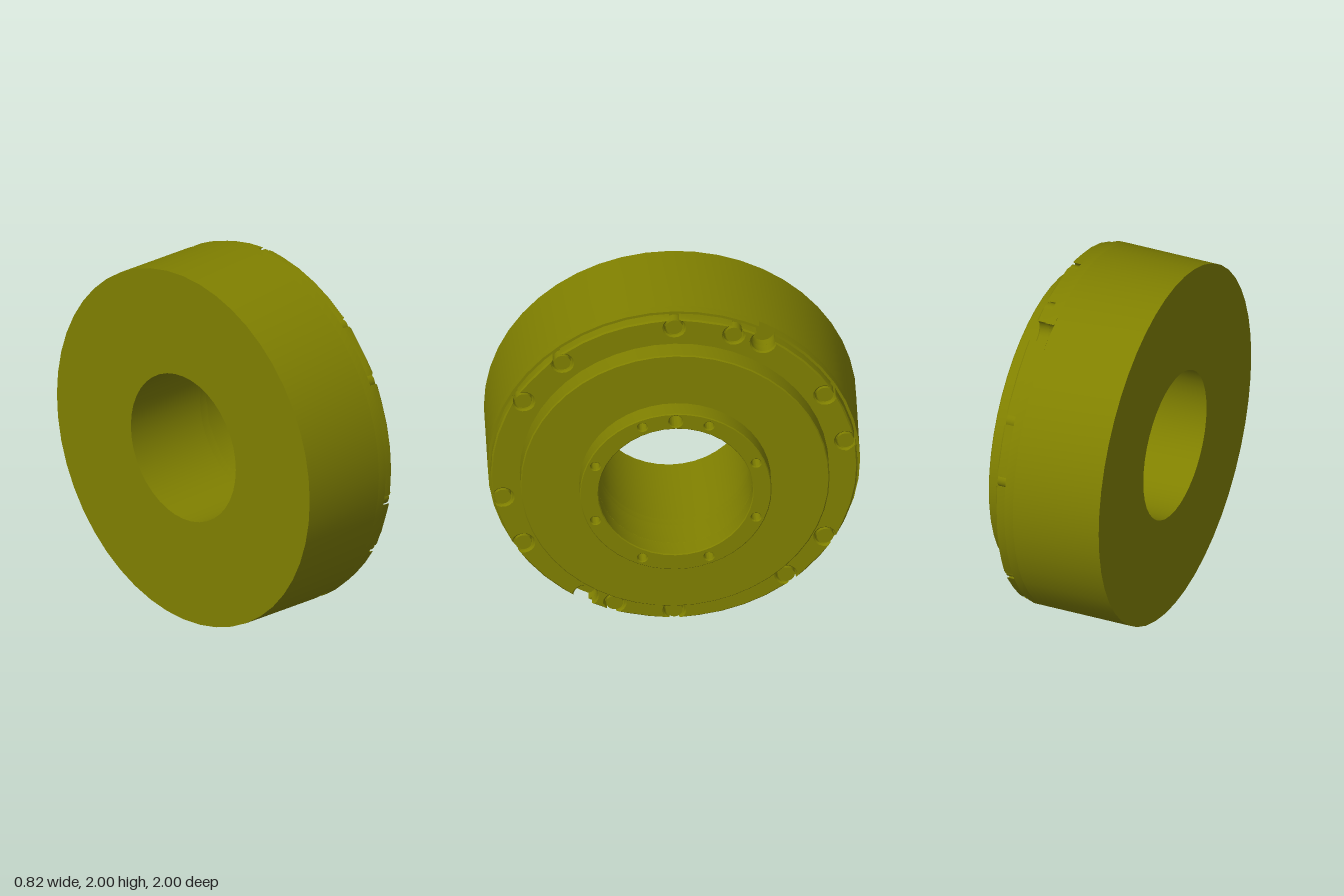
import * as THREE from 'three';
import { toCreasedNormals } from 'three/addons/utils/BufferGeometryUtils.js';

const BORE = 0.415, SEG = 48;
const rad = THREE.MathUtils.degToRad;
const polar = (r, a) => new THREE.Vector2(r * Math.cos(a), r * Math.sin(a));

// Circle outline with round bites { deg, d, r } cut in from its edge
function outline(R, bites = []) {
  const pts = [];
  const cuts = bites.map(({ deg, d, r }) => {
    const phi = Math.acos((R * R - d * d - r * r) / (2 * d * r));
    return { a: rad(deg), d, r, phi, half: Math.atan2(r * Math.sin(phi), d + r * Math.cos(phi)) };
  }).sort((p, q) => p.a - q.a);
  const list = [];
  for (let i = 0; i < SEG; i++) {
    const a = (i / SEG) * Math.PI * 2;
    if (!cuts.some(c => Math.abs(a - c.a) < c.half + 0.01)) list.push({ a, pts: [polar(R, a)] });
  }
  for (const c of cuts) {
    const arc = [];
    for (let i = 0; i <= 14; i++) {
      const t = -c.phi - (i / 14) * (2 * Math.PI - 2 * c.phi);
      arc.push(polar(c.d, c.a).add(polar(c.r, c.a + t)));
    }
    list.push({ a: c.a, pts: arc });
  }
  list.sort((p, q) => p.a - q.a).forEach(e => pts.push(...e.pts));
  return new THREE.Shape(pts);
}

function addHole(shape, r, x = 0, y = 0) {
  const hole = new THREE.Path();
  hole.absarc(x, y, r, 0, Math.PI * 2, true);
  shape.holes.push(hole);
}

export function createModel() {
  const model = new THREE.Group();
  model.name = 'wheelHub';
  const material = new THREE.MeshStandardMaterial({ color: 0x808000 });

  // Slice along the axle from x0 to x1; bevelled slices start sunk into the one below
  function slice(name, shape, x0, x1, bevel = 0) {
    const start = x0 - 2 * bevel;
    const geo = new THREE.ExtrudeGeometry(shape, {
      depth: x1 - start - 2 * bevel, curveSegments: 20, bevelEnabled: bevel > 0,
      bevelSize: bevel, bevelThickness: bevel, bevelOffset: -bevel, bevelSegments: 1,
    });
    geo.translate(0, 0, start + bevel);
    geo.rotateY(Math.PI / 2);
    const mesh = new THREE.Mesh(toCreasedNormals(geo, rad(32)), material);
    mesh.name = name;
    mesh.position.y = 1;
    model.add(mesh);
  }

  const notches = [60, 240].map(deg => ({ deg, d: 0.955, r: 0.065 }));
  const boltAngles = [];
  for (let k = 0; k < 6; k++) boltAngles.push(k * 60 + 10, k * 60 + 30);
  const pockets = boltAngles.map(deg => ({ deg, d: 0.935, r: 0.056 }));

  // Wide drum, its notched shoulder and the rim with bolt pockets
  const drum = outline(1);
  addHole(drum, BORE);
  slice('drum', drum, -0.415, 0.09);

  const shoulder = outline(1, notches);
  addHole(shoulder, BORE);
  slice('notchedShoulder', shoulder, 0.09, 0.14);

  const rim = outline(0.985, [...notches, ...pockets]);
  addHole(rim, 0.7);
  slice('rim', rim, 0.14, 0.2, 0.008);

  // Raised plate
  const plate = outline(0.83);
  addHole(plate, BORE);
  slice('raisedPlate', plate, 0.14, 0.31, 0.006);

  // Collar with eight screw holes and one locating hole
  const collar = outline(0.515);
  addHole(collar, BORE);
  for (let i = 0; i < 8; i++) {
    const p = polar(0.467, rad(22.5 + i * 45));
    addHole(collar, 0.025, p.x, p.y);
  }
  addHole(collar, 0.036, 0, 0.465);
  slice('collar', collar, 0.31, 0.41, 0.005);

  // Bolt heads sitting in the rim pockets
  const bolts = new THREE.Group();
  bolts.name = 'bolts';
  const boltGeo = new THREE.CylinderGeometry(0.045, 0.045, 0.065, 20).rotateZ(-Math.PI / 2);
  for (const deg of boltAngles) {
    const p = polar(0.935, rad(deg));
    const bolt = new THREE.Mesh(boltGeo, material);
    bolt.name = 'bolt';
    bolt.position.set(0.1625, 1 + p.y, -p.x);
    bolts.add(bolt);
  }
  model.add(bolts);
  return model;
}
